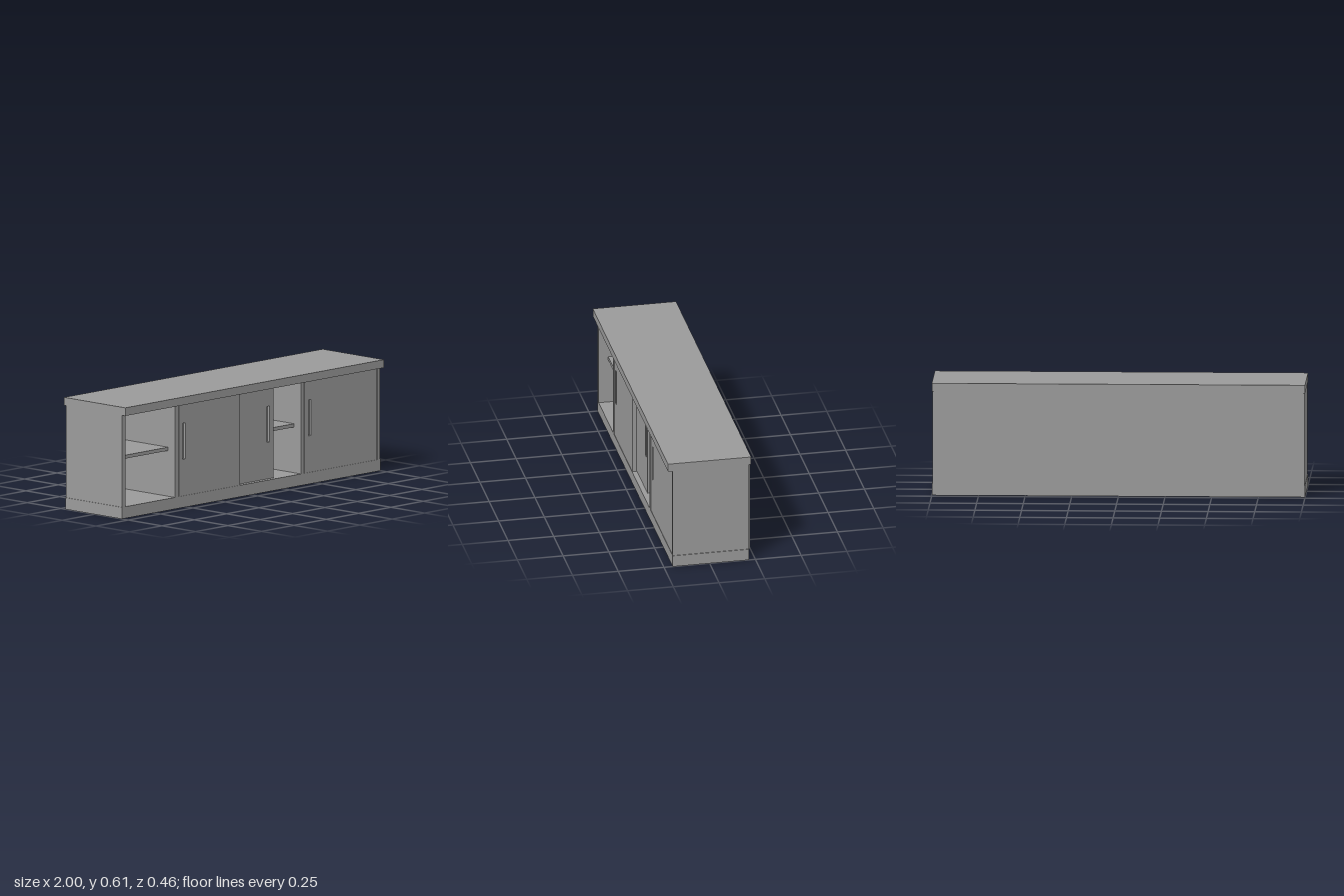
import * as THREE from 'three';

export function createModel() {
  const model = new THREE.Group();
  const mat = new THREE.MeshStandardMaterial({ color: 0x9b9b9b });
  const FRONT = 0.202, DOOR_FRONT = 0.2, BACK = -0.215, FLOOR = 0.063, CEIL = 0.564;

  // Box given by its limits on each axis
  function box(name, [x0, x1], [y0, y1], [z0, z1], parent = model) {
    const mesh = new THREE.Mesh(new THREE.BoxGeometry(x1 - x0, y1 - y0, z1 - z0), mat);
    mesh.position.set((x0 + x1) / 2, (y0 + y1) / 2, (z0 + z1) / 2);
    mesh.name = name;
    parent.add(mesh);
  }

  // Plinth, worktop and back panel
  box('plinth', [-1, 1], [0, FLOOR], [BACK, FRONT]);
  box('worktop', [-1, 1], [CEIL, 0.608], [-0.227, 0.228]);
  box('backPanel', [-0.988, 0.988], [0.06, CEIL], [-0.222, BACK]);

  // Side panels and dividers
  box('rightSidePanel', [-0.9965, -0.97], [FLOOR, CEIL], [BACK, FRONT]);
  box('leftSidePanel', [0.977, 0.9965], [FLOOR, CEIL], [BACK, FRONT]);
  box('rightDivider', [-0.588, -0.563], [FLOOR, CEIL], [BACK, FRONT]);
  box('leftDivider', [0.386, 0.409], [FLOOR, CEIL], [BACK, FRONT]);

  // One shelf in each compartment
  for (const span of [[-0.97, -0.588], [-0.563, 0.386], [0.409, 0.977]])
    box('shelf', span, [0.311, 0.33], [BACK, 0.15]);

  // Door with a recessed upright finger pull
  function door(name, x0, x1, pullX, front) {
    const group = new THREE.Group();
    group.name = name;
    const thick = 0.022, depth = 0.013, w = 0.01, r = 0.002, y0 = 0.262, y1 = 0.458;
    const face = new THREE.Shape();
    face.moveTo(x0, FLOOR).lineTo(x1, FLOOR).lineTo(x1, CEIL).lineTo(x0, CEIL).closePath();
    const slot = new THREE.Path();
    slot.moveTo(pullX - w + r, y0).lineTo(pullX - w, y0 + r)
      .lineTo(pullX - w, y1 - r).lineTo(pullX - w + r, y1)
      .lineTo(pullX + w - r, y1).lineTo(pullX + w, y1 - r)
      .lineTo(pullX + w, y0 + r).lineTo(pullX + w - r, y0).closePath();
    face.holes.push(slot);
    const leaf = new THREE.Mesh(
      new THREE.ExtrudeGeometry(face, { depth, bevelEnabled: false }), mat);
    leaf.position.z = front - depth;
    leaf.name = 'doorFace';
    group.add(leaf);
    box('doorBacking', [x0, x1], [FLOOR, CEIL], [front - thick, front - depth], group);
    model.add(group);
  }
  door('rightDoor', -0.557, -0.083, -0.517, DOOR_FRONT);
  door('middleSlidingDoor', -0.28, 0.2, 0.16, 0.175);
  door('leftDoor', 0.415, 0.972, 0.456, DOOR_FRONT);

  return model;
}
